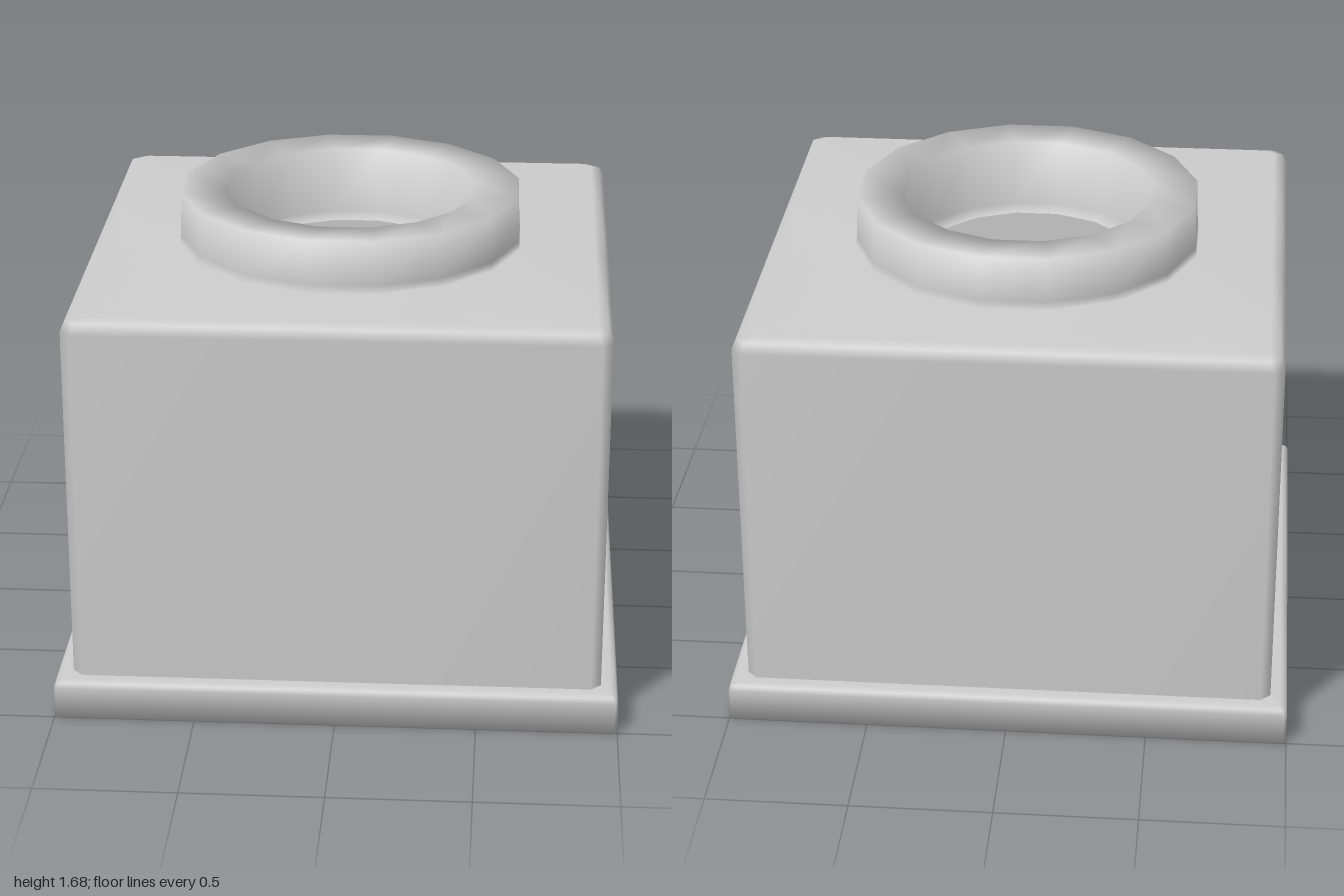
import * as THREE from 'three';

// Ring of 16 points: a square of half-width s with corners cut by c
function squareRing(y, s, c, t = s * 0.2) {
  const quarter = [[s, t], [s, s - c], [s - c, s], [t, s]];
  const ring = [];
  // start each quarter at its own side, turning from +x towards +z
  for (let q = 0; q < 4; q++) {
    for (const [x, z] of quarter) {
      const p = [[x, z], [-z, x], [-x, -z], [z, -x]][q];
      ring.push([p[0], y, p[1]]);
    }
  }
  return ring;
}

// Ring of 16 points on a circle, flat sides facing the axes
function roundRing(y, r) {
  return Array.from({ length: 16 }, (_, i) => {
    const a = ((i + 0.5) * Math.PI) / 8;
    return [r * Math.cos(a), y, r * Math.sin(a)];
  });
}

// Smooth skin through consecutive rings
function loft(name, rings, material) {
  const n = 16;
  const index = [];
  for (let i = 0; i < rings.length - 1; i++) {
    for (let j = 0; j < n; j++) {
      const k = (j + 1) % n;
      const a = i * n + j, b = i * n + k, c = b + n, d = a + n;
      index.push(a, d, b, b, d, c);
    }
  }
  const geometry = new THREE.BufferGeometry();
  geometry.setAttribute('position', new THREE.Float32BufferAttribute(rings.flat(2), 3));
  geometry.setIndex(index);
  geometry.computeVertexNormals();
  const mesh = new THREE.Mesh(geometry, material);
  mesh.name = name;
  return mesh;
}

export function createModel() {
  const group = new THREE.Group();
  group.name = 'boxWithCollar';
  const material = new THREE.MeshStandardMaterial({ color: 0xcccccc, side: THREE.DoubleSide });

  // Square plinth, closed below, with a softened upper edge
  group.add(loft('base', [
    squareRing(0, 0, 0),
    squareRing(0, 1, 0.01),
    squareRing(0.115, 1, 0.01),
    squareRing(0.133, 0.993, 0.012),
    squareRing(0.14, 0.975, 0.015),
    squareRing(0.14, 0.935, 0.04),
  ], material));

  // Hollow box with rounded edges, its top running into the raised collar and inner lip
  group.add(loft('bodyAndCollar', [
    squareRing(0.14, 0.94, 0.035),
    squareRing(1.44, 0.94, 0.035),
    squareRing(1.475, 0.925, 0.035),
    squareRing(1.49, 0.89, 0.03),
    roundRing(1.49, 0.63),
    roundRing(1.52, 0.626),
    roundRing(1.68, 0.62),
    roundRing(1.675, 0.455),
    roundRing(1.43, 0.45),
    roundRing(1.41, 0.4),
  ], material));

  return group;
}
